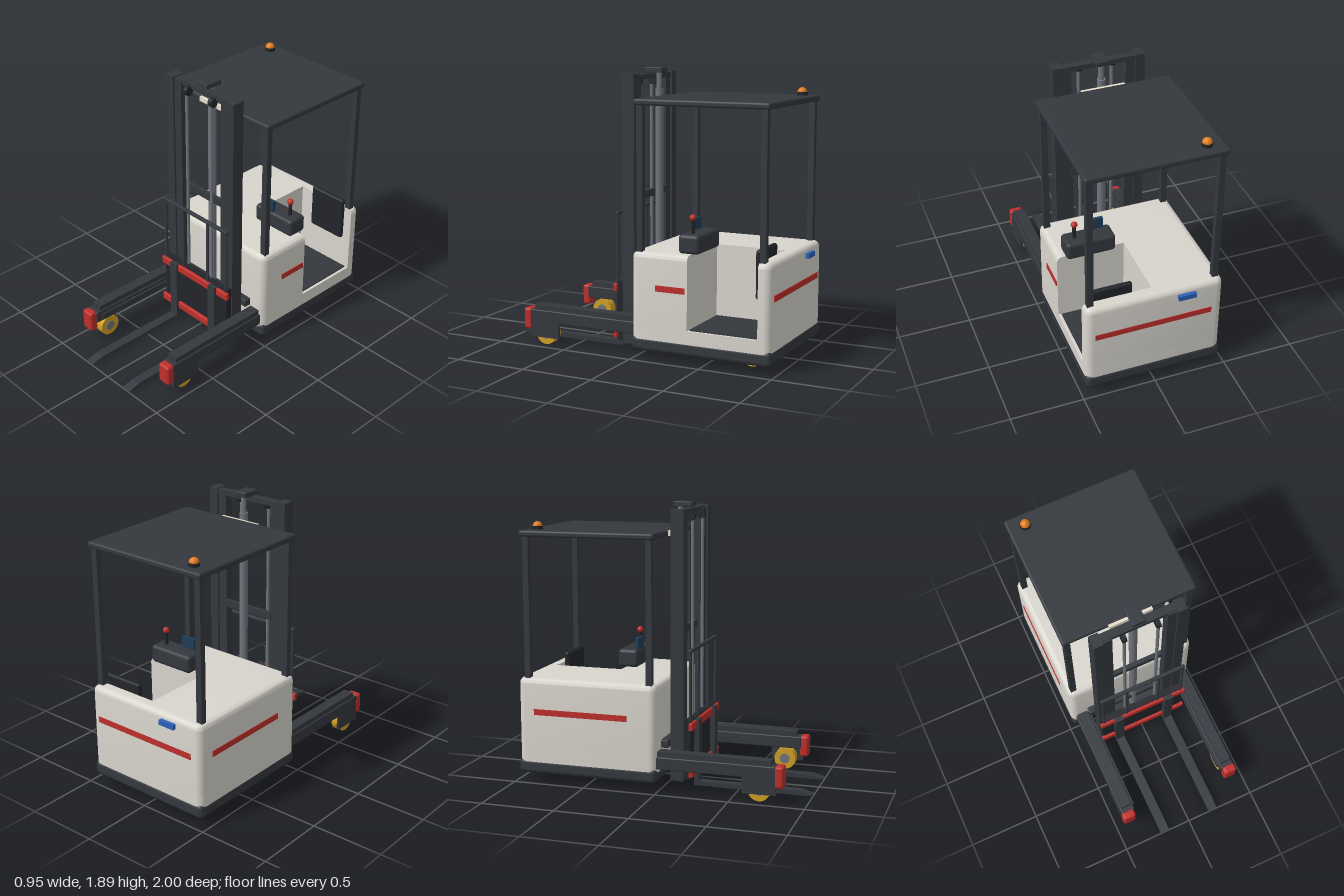
import * as THREE from 'three';
import { toCreasedNormals } from 'three/addons/utils/BufferGeometryUtils.js';
import { RoundedBoxGeometry } from 'three/addons/geometries/RoundedBoxGeometry.js';

const paint = (color) => new THREE.MeshStandardMaterial({ color });
const CREAM = paint(0xd8d5cd), DARK = paint(0x34383e), BLACK = paint(0x22252a), RED = paint(0xbe2f2b);
const GOLD = paint(0xd0a025), STEEL = paint(0x70757c), ORANGE = paint(0xe27c1c), BLUE = paint(0x2a62b8);
const SCREEN = paint(0x1f3d58), LAMP = paint(0xe8dfcc);

// Plan outline of the body, counter-clockwise in (x, -z); the inset shrinks only the outside
function bodyOutline(inset, withCockpit) {
  const X = 0.47, Z0 = 0, Z1 = 0.975, R = 0.05, pts = [];
  const corner = (cx, cz, start) => {
    for (let i = 0; i <= 6; i++) {
      const a = start + (i / 6) * Math.PI / 2;
      pts.push(new THREE.Vector2(cx + (R - inset) * Math.cos(a), cz + (R - inset) * Math.sin(a)));
    }
  };
  corner(-X + R, Z0 + R, Math.PI);
  corner(X - R, Z0 + R, Math.PI * 1.5);
  if (withCockpit) {
    for (const [x, z] of [[X - inset, 0.405], [0, 0.405], [0, 0.89], [X - inset, 0.89]]) pts.push(new THREE.Vector2(x, z));
  }
  corner(X - R, Z1 - R, 0);
  corner(-X + R, Z1 - R, Math.PI / 2);
  return pts;
}

// Stack outlines given as [height, inset] and close the top
function loftBody(levels, withCockpit) {
  const pos = [], index = [];
  const rings = levels.map(([, inset]) => bodyOutline(inset, withCockpit));
  const n = rings[0].length;
  rings.forEach((ring, k) => ring.forEach((p) => pos.push(p.x, levels[k][0], -p.y)));
  for (let k = 0; k < rings.length - 1; k++) {
    for (let i = 0; i < n; i++) {
      const a = k * n + i, b = k * n + (i + 1) % n;
      index.push(a, b, b + n, a, b + n, a + n);
    }
  }
  const top = (rings.length - 1) * n;
  for (const f of THREE.ShapeUtils.triangulateShape(rings[rings.length - 1], [])) index.push(...f.map((i) => i + top));
  const g = new THREE.BufferGeometry();
  g.setAttribute('position', new THREE.Float32BufferAttribute(pos, 3));
  g.setIndex(index);
  return toCreasedNormals(g, 0.6);
}

export function createModel() {
  const model = new THREE.Group();
  const add = (name, geometry, material, x = 0, y = 0, z = 0) => {
    const m = new THREE.Mesh(geometry, material);
    m.name = name;
    m.position.set(x, y, z);
    model.add(m);
    return m;
  };
  // Box from its limits, rounded when a radius is given
  const box = (name, mat, x0, x1, y0, y1, z0, z1, r = 0) => {
    const s = [x1 - x0, y1 - y0, z1 - z0];
    const g = r ? new RoundedBoxGeometry(...s, 3, r) : new THREE.BoxGeometry(...s);
    return add(name, g, mat, (x0 + x1) / 2, (y0 + y1) / 2, (z0 + z1) / 2);
  };
  // The same box on both sides
  const pair = (name, mat, x0, x1, ...rest) => {
    box(name, mat, x0, x1, ...rest);
    box(name, mat, -x1, -x0, ...rest);
  };
  const rod = (name, mat, r, x, y0, y1, z) =>
    add(name, new THREE.CylinderGeometry(r, r, y1 - y0, 20), mat, x, (y0 + y1) / 2, z);
  const axle = (name, mat, r, width, x, y, z) => {
    add(name, new THREE.CylinderGeometry(r, r, width, 32), mat, x, y, z).rotation.z = Math.PI / 2;
  };

  // Chassis and body with the cockpit cut out of the left side
  box('chassis', DARK, -0.472, 0.472, 0.06, 0.16, -0.98, 0, 0.03);
  const levels = [[0.23, 0]];
  for (let i = 0; i <= 6; i++) {
    const a = (i / 6) * Math.PI / 2;
    levels.push([0.68 + 0.04 * Math.sin(a), 0.04 * (1 - Math.cos(a))]);
  }
  add('body', loftBody(levels, true), CREAM);
  add('lowerBody', loftBody([[0.13, 0], [0.23, 0]], false), CREAM);
  box('floorMat', DARK, 0.02, 0.45, 0.228, 0.238, -0.88, -0.415);
  box('backrest', BLACK, 0.125, 0.415, 0.475, 0.79, -0.887, -0.85, 0.015);

  // Stripes and rear plate
  box('leftStripe', RED, 0.465, 0.475, 0.47, 0.51, -0.39, -0.18);
  box('rightStripe', RED, -0.475, -0.465, 0.47, 0.51, -0.86, -0.2);
  box('rearStripe', RED, -0.39, 0.41, 0.47, 0.51, -0.98, -0.97);
  box('rearPlate', BLUE, -0.27, -0.15, 0.645, 0.68, -1, -0.97);

  // Controls
  box('console', DARK, 0.075, 0.415, 0.72, 0.845, -0.46, -0.312, 0.025);
  box('display', SCREEN, 0.125, 0.235, 0.83, 0.92, -0.347, -0.322);
  rod('leverStem', BLACK, 0.013, 0.34, 0.84, 0.94, -0.385);
  add('leverKnob', new THREE.SphereGeometry(0.022, 20, 14), RED, 0.34, 0.948, -0.385);

  // Overhead guard
  box('roof', DARK, -0.463, 0.463, 1.665, 1.707, -0.952, -0.015, 0.015);
  pair('frontPost', DARK, 0.405, 0.447, 0.69, 1.67, -0.073, -0.032);
  pair('rearPost', DARK, 0.405, 0.447, 0.69, 1.67, -0.932, -0.892);
  box('workLight', LAMP, -0.15, 0.15, 1.67, 1.703, -0.03, 0);
  rod('beaconBase', BLACK, 0.036, -0.345, 1.705, 1.73, -0.863);
  add('beaconDome', new THREE.SphereGeometry(0.032, 24, 10, 0, Math.PI * 2, 0, Math.PI / 2), ORANGE, -0.345, 1.729, -0.863);

  // Mast
  pair('outerRail', DARK, 0.25, 0.315, 0.05, 1.855, 0.055, 0.143);
  pair('innerRail', DARK, 0.187, 0.25, 0.07, 1.84, 0.07, 0.13);
  box('topCrossbar', DARK, -0.3, 0.3, 1.815, 1.848, 0.065, 0.12);
  box('middleCrossbar', DARK, -0.2, 0.2, 1.02, 1.068, 0.06, 0.09);
  box('bottomCrossbar', DARK, -0.25, 0.25, 0.1, 0.14, 0.06, 0.12);
  box('mastMount', DARK, -0.35, 0.35, 0.28, 0.335, -0.01, 0.05, 0.008);
  box('lowerMount', DARK, -0.25, 0.25, 0.105, 0.125, -0.01, 0.07);
  rod('liftCylinder', STEEL, 0.028, 0, 0.1, 1.745, 0.027);
  rod('liftPiston', STEEL, 0.019, 0, 1.74, 1.86, 0.027);
  box('cylinderHead', DARK, -0.045, 0.045, 1.855, 1.89, -0.012, 0.118, 0.006);
  for (const s of [-1, 1]) {
    rod('liftChain', STEEL, 0.011, s * 0.115, 0.42, 1.8, 0.145);
    axle('chainPulley', BLACK, 0.031, 0.03, s * 0.115, 1.8, 0.133);
  }

  // Fork carriage and load guard
  box('carriagePlate', BLACK, -0.31, 0.31, 0.065, 0.465, 0.145, 0.19);
  box('upperCarriageBar', RED, -0.33, 0.33, 0.4, 0.455, 0.182, 0.21, 0.008);
  box('lowerCarriageBar', RED, -0.33, 0.33, 0.082, 0.138, 0.182, 0.21, 0.008);
  for (const x of [-0.3, -0.12, 0.12, 0.3]) rod('guardBar', DARK, 0.01, x, 0.45, 0.935, 0.187);
  box('guardTop', DARK, -0.315, 0.315, 0.922, 0.943, 0.175, 0.2, 0.005);

  // Forks: side profile with a tapered tip, extruded across the width
  const profile = new THREE.Shape([[0.192, 0.005], [0.97, 0.002], [1, 0.01], [0.91, 0.032], [0.226, 0.034], [0.226, 0.46], [0.192, 0.46]]
    .map(([z, y]) => new THREE.Vector2(z, y)));
  const fork = new THREE.ExtrudeGeometry(profile, { depth: 0.066, bevelEnabled: false });
  fork.rotateY(-Math.PI / 2);
  for (const s of [-1, 1]) add('fork', fork, DARK, s * 0.193 + 0.033);

  // Straddle legs with load wheels
  pair('leg', DARK, 0.345, 0.442, 0.155, 0.24, -0.01, 0.8, 0.008);
  pair('legRail', DARK, 0.355, 0.432, 0.235, 0.275, -0.01, 0.765);
  pair('legInnerLip', DARK, 0.332, 0.35, 0.17, 0.215, 0, 0.76);
  pair('wheelGuard', DARK, 0.425, 0.442, 0.05, 0.16, 0.575, 0.8);
  pair('legBumper', RED, 0.353, 0.447, 0.098, 0.245, 0.79, 0.85, 0.018);
  for (const s of [-1, 1]) {
    axle('loadWheel', GOLD, 0.075, 0.07, s * 0.39, 0.075, 0.685);
    axle('loadWheelHub', STEEL, 0.035, 0.08, s * 0.39, 0.075, 0.685);
  }

  // Drive wheel and caster under the chassis
  axle('driveWheel', BLACK, 0.113, 0.1, -0.19, 0.113, -0.555);
  axle('casterWheel', GOLD, 0.066, 0.055, 0.262, 0.066, -0.785);
  axle('casterHub', STEEL, 0.03, 0.06, 0.262, 0.066, -0.785);

  return model;
}
